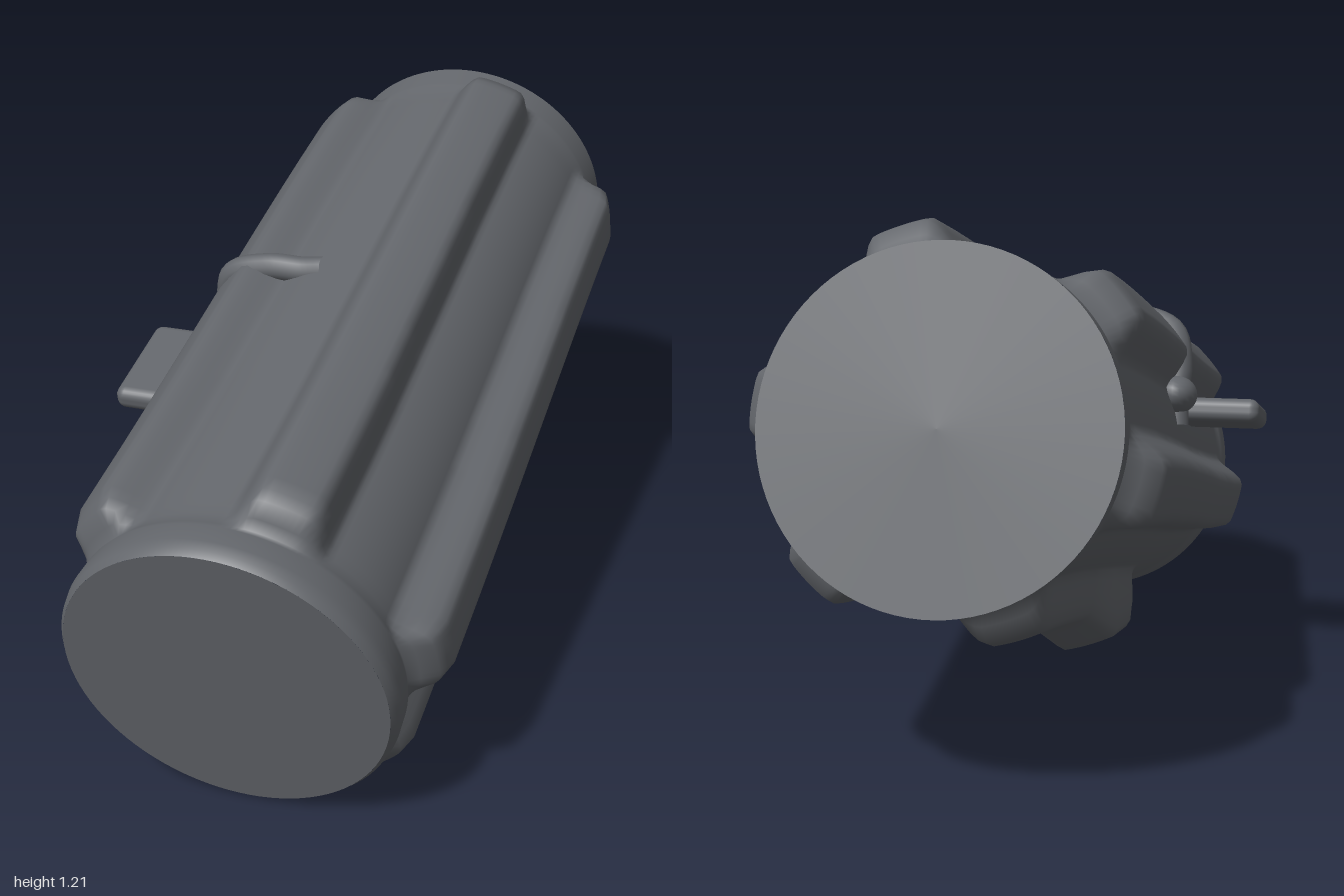
import * as THREE from 'three';
import { RoundedBoxGeometry } from 'three/addons/geometries/RoundedBoxGeometry.js';

const DEG = Math.PI / 180;

// Piecewise-linear lookup through [position, value] pairs
function ramp(points, t) {
  if (t <= points[0][0]) return points[0][1];
  for (let i = 1; i < points.length; i++) {
    const [t0, v0] = points[i - 1];
    const [t1, v1] = points[i];
    if (t <= t1) return v0 + (v1 - v0) * (t - t0) / (t1 - t0);
  }
  return points[points.length - 1][1];
}

// The end collars sit slightly flatter than the ribbed body
const sag = (t) => -0.02 * t ** 3;

// Core radius along the axis: rounded front collar, body, back collar
const CORE = [[-1.03, 0.375], [-1.015, 0.385], [-0.99, 0.39], [-0.94, 0.387], [-0.9, 0.374],
  [0.9, 0.375], [0.95, 0.382], [1.03, 0.385]];
// Height of the ordinary ribs, and of the underside rib with its shallow fin
const RIB = [[-0.925, 0], [-0.89, 0.07], [-0.83, 0.088], [0.83, 0.088], [0.89, 0.075], [0.94, 0]];
const FIN = [[-0.37, 0], [-0.28, 0.11], [-0.2, 0.135], [0.06, 0.15], [0.32, 0.09], [0.83, 0.088], [0.89, 0.075], [0.94, 0]];

const ribs = [6, 72, 139, 195, 251, 312].map((angle) => ({ angle, height: angle === 251 ? FIN : RIB }));

function radiusAt(deg, t) {
  let r = ramp(CORE, t);
  for (const rib of ribs) {
    const d = Math.abs(((deg - rib.angle + 540) % 360) - 180);
    const edge = Math.min(1, Math.max(0, (18 - d) / 11));
    r += ramp(rib.height, t) * edge * edge * (3 - 2 * edge);
  }
  return r;
}

// Ribbed barrel swept ring by ring; the axis runs front (+z) to back (-z)
function barrelGeometry() {
  const stations = [-1.03, -1.015, -0.99, -0.94, -0.925, -0.91, -0.89, -0.86, -0.83, -0.6, -0.4, -0.37,
    -0.34, -0.31, -0.28, -0.24, -0.2, -0.07, 0.06, 0.12, 0.19, 0.26, 0.32, 0.5, 0.65, 0.83, 0.86, 0.89,
    0.915, 0.94, 0.95, 1.03];
  const n = 180;
  const pos = [];
  const idx = [];
  stations.forEach((t, i) => {
    for (let j = 0; j < n; j++) {
      const deg = j * 360 / n;
      const r = radiusAt(deg, t);
      pos.push(r * Math.cos(deg * DEG), r * Math.sin(deg * DEG) + sag(t), -t);
      if (i < stations.length - 1) {
        const a = i * n + j;
        const b = i * n + (j + 1) % n;
        idx.push(a, a + n, b, b, a + n, b + n);
      }
    }
  });
  const g = new THREE.BufferGeometry();
  g.setAttribute('position', new THREE.Float32BufferAttribute(pos, 3));
  g.setIndex(idx);
  g.computeVertexNormals();
  return g;
}

export function createModel() {
  const model = new THREE.Group();
  model.name = 'ribbedCylinder';
  const darkGrey = new THREE.MeshStandardMaterial({ color: 0x63666b });
  darkGrey.name = 'darkGrey';

  // Tilted frame: x = side, y = upper side, z = towards the front end
  const body = new THREE.Group();
  body.name = 'tiltedBody';
  const back = new THREE.Vector3(1, 0.325, -0.94).normalize();
  const side = new THREE.Vector3(0.94, 0, 1).normalize();
  const up = side.clone().cross(back);
  body.quaternion.setFromRotationMatrix(new THREE.Matrix4().makeBasis(side, up, back.clone().negate()));
  body.position.y = 0.585;
  model.add(body);

  const add = (name, geometry, x = 0, y = 0, z = 0) => {
    const mesh = new THREE.Mesh(geometry, darkGrey);
    mesh.name = name;
    mesh.position.set(x, y, z);
    body.add(mesh);
    return mesh;
  };

  add('ribbedBarrel', barrelGeometry());

  // Flat end discs
  add('frontCap', new THREE.CircleGeometry(0.375, 90), 0, sag(-1.03), 1.03);
  add('backCap', new THREE.CircleGeometry(0.385, 90), 0, sag(1.03), -1.03).rotation.y = Math.PI;

  // Low strap climbing over the upper rear rib
  const strap = [[106, 0.36], [114, 0.37], [126, 0.415], [139, 0.455], [150, 0.42], [158, 0.385], [170, 0.365]]
    .map(([a, r]) => new THREE.Vector3(r * Math.cos(a * DEG), r * Math.sin(a * DEG), -0.04));
  add('strap', new THREE.TubeGeometry(new THREE.CatmullRomCurve3(strap), 32, 0.034, 12));

  // Hinge knuckle at the foot of the strap
  const knuckle = add('hingeKnuckle', new THREE.SphereGeometry(0.06, 20, 14), -0.36, 0.14, -0.05);
  knuckle.scale.set(0.9, 0.8, 1.2);

  // Latch tab standing out from the side
  add('latchTab', new RoundedBoxGeometry(0.22, 0.06, 0.29, 3, 0.025), -0.455, 0.11, 0.145);

  return model;
}
